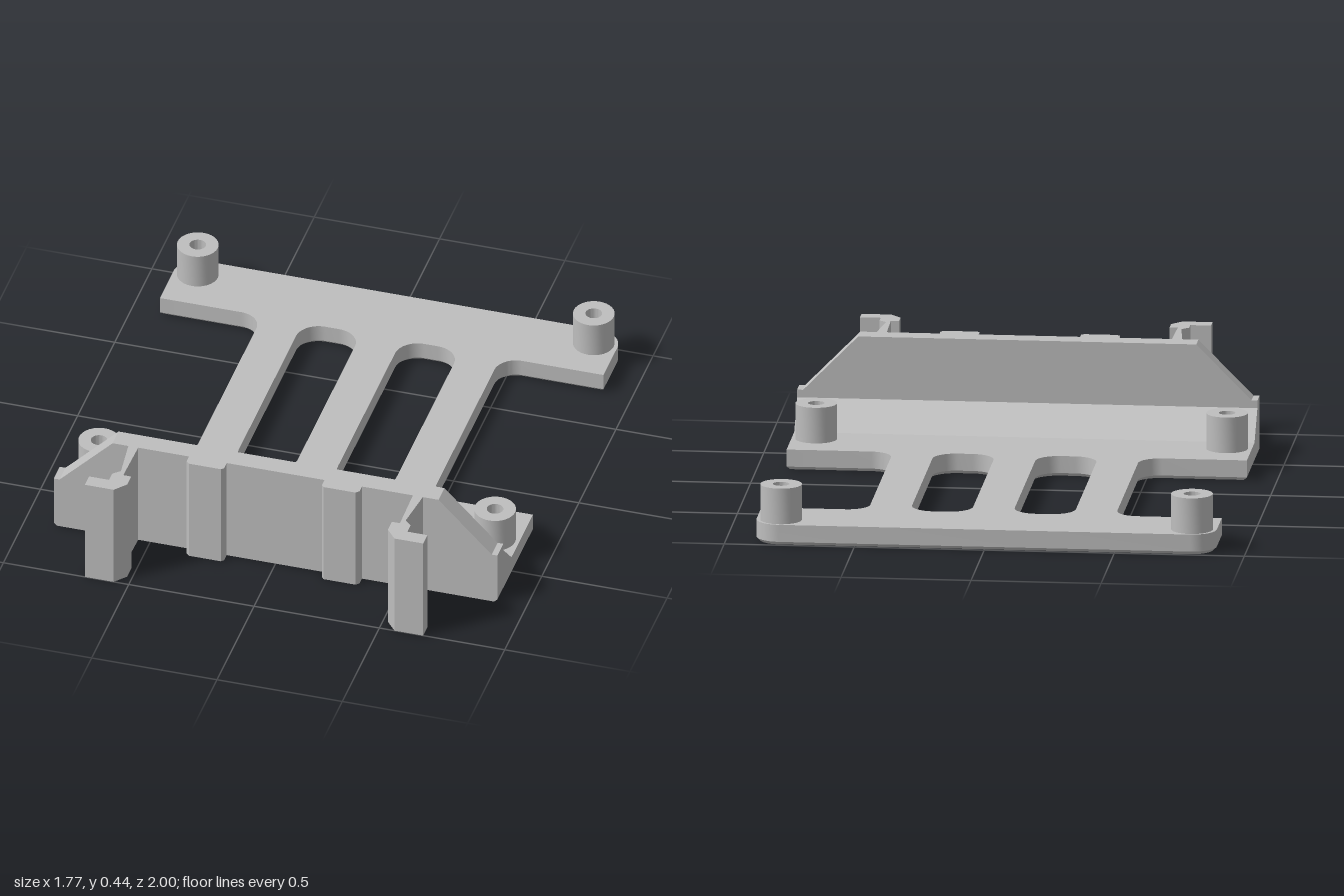
import * as THREE from 'three';
import { toCreasedNormals } from 'three/addons/utils/BufferGeometryUtils.js';

const W = 0.885;      // half width
const PLATE = 0.08;   // plate thickness
const TOP = 0.435;    // front wall height
const BEVEL = 0.013;
const BOSSES = [[-0.79, -0.91], [0.79, -0.91], [-0.79, 0.42], [0.79, 0.42]];
const HOLE = 0.032;

// Closed path through [x, y, radius] corners
function trace(path, pts) {
  const n = pts.length;
  pts.forEach(([x, y, r = 0], i) => {
    const toward = ([px, py], d) => {
      const l = Math.hypot(px - x, py - y);
      return [x + (px - x) * d / l, y + (py - y) * d / l];
    };
    const prev = pts[(i + n - 1) % n], next = pts[(i + 1) % n];
    const a = toward(prev, r), b = toward(next, r);
    if (i === 0) path.moveTo(...a); else path.lineTo(...a);
    if (r) path.bezierCurveTo(...toward(prev, r * 0.448), ...toward(next, r * 0.448), ...b);
  });
  path.closePath();
  return path;
}

const circle = (x, z, r) => new THREE.Path().absarc(x, z, r, 0, Math.PI * 2, true);

// Vertical prism from a shape drawn in x and z
function prism(shape, y0, y1) {
  const g = new THREE.ExtrudeGeometry(shape, { depth: y1 - y0, bevelEnabled: false, curveSegments: 16 });
  g.rotateX(Math.PI / 2).translate(0, y1, 0);
  return toCreasedNormals(g, 0.5);
}

// Plate outline with two slots and four screw holes
function plateShape() {
  const half = [[W, -1, 0.095], [W, -0.72], [0.475, -0.72, 0.085], [0.475, 0.23, 0.085], [W, 0.23], [W, 0.71]];
  const mirrored = half.map(([x, z, r]) => [-x, z, r]).reverse();
  const shape = trace(new THREE.Shape(), [...half, ...mirrored]);
  for (const s of [-1, 1]) {
    shape.holes.push(trace(new THREE.Path(), [
      [s * 0.08, -0.72, 0.09], [s * 0.315, -0.72, 0.09], [s * 0.315, 0.23, 0.09], [s * 0.08, 0.23, 0.09]]));
  }
  for (const [x, z] of BOSSES) shape.holes.push(circle(x, z, HOLE));
  return shape;
}

// Chamfered underside; its upper half is buried inside the plate
function chamferGeometry() {
  const depth = 0.002;
  const g = new THREE.ExtrudeGeometry(plateShape(), {
    depth, bevelThickness: BEVEL, bevelSize: BEVEL, bevelOffset: -BEVEL, bevelSegments: 1, curveSegments: 16 });
  g.rotateX(Math.PI / 2).translate(0, depth + BEVEL, 0);
  // Keep the screw holes straight
  const p = g.attributes.position;
  for (let i = 0; i < p.count; i++) {
    for (const [x, z] of BOSSES) {
      const dx = p.getX(i) - x, dz = p.getZ(i) - z, d = Math.hypot(dx, dz);
      if (d < 0.055) {
        p.setX(i, x + dx * HOLE / d);
        p.setZ(i, z + dz * HOLE / d);
      }
    }
  }
  return toCreasedNormals(g, 0.5);
}

export function createModel() {
  const group = new THREE.Group();
  const grey = new THREE.MeshStandardMaterial({ color: 0xbebebe });
  grey.name = 'grey plastic';
  const add = (name, geometry) => {
    const mesh = new THREE.Mesh(geometry, grey);
    mesh.name = name;
    group.add(mesh);
  };

  // Base plate
  add('basePlate', prism(plateShape(), BEVEL, PLATE));
  add('plateChamfer', chamferGeometry());

  // Screw bosses
  for (const [x, z] of BOSSES) {
    const ring = new THREE.Shape().absarc(x, z, 0.08, 0, Math.PI * 2, false);
    ring.holes.push(circle(x, z, HOLE));
    add('screwBoss', prism(ring, PLATE, 0.22));
  }

  // Front wall with sloped shoulders
  const wall = trace(new THREE.Shape(), [
    [-W + BEVEL, 0], [W - BEVEL, 0], [W, BEVEL], [W, 0.22], [0.862, 0.22], [0.65, TOP],
    [-0.65, TOP], [-0.862, 0.22], [-W, 0.22], [-W, BEVEL]]);
  add('frontWall', new THREE.ExtrudeGeometry(wall, { depth: 0.08, bevelEnabled: false }).translate(0, 0, 0.63));

  // Sloped brace behind the wall
  const brace = trace(new THREE.Shape(), [[0.52, PLATE], [0.635, PLATE], [0.635, 0.19], [0.63, 0.19]]);
  add('wallBrace', new THREE.ExtrudeGeometry(brace, { depth: 2 * W, bevelEnabled: false })
    .rotateY(-Math.PI / 2).translate(W, 0, 0));

  // Ribs and hooked clips on the front, mirrored
  const rib = [[0.195, 0.705], [0.345, 0.705], [0.345, 0.742], [0.332, 0.755], [0.205, 0.755], [0.195, 0.745]];
  const clip = [[0.548, 0.705], [0.588, 0.705], [0.568, 0.875], [0.595, 0.9], [0.595, 0.943],
    [0.675, 0.943], [0.675, 1], [0.56, 1], [0.52, 0.952], [0.52, 0.898], [0.552, 0.898]];
  for (const [side, s] of [['left', 1], ['right', -1]]) {
    const flip = (pts) => trace(new THREE.Shape(), pts.map(([x, z]) => [s * x, z]));
    add(side + 'Rib', prism(flip(rib), 0, TOP));
    add(side + 'Clip', prism(flip(clip), 0, TOP));
  }
  return group;
}
